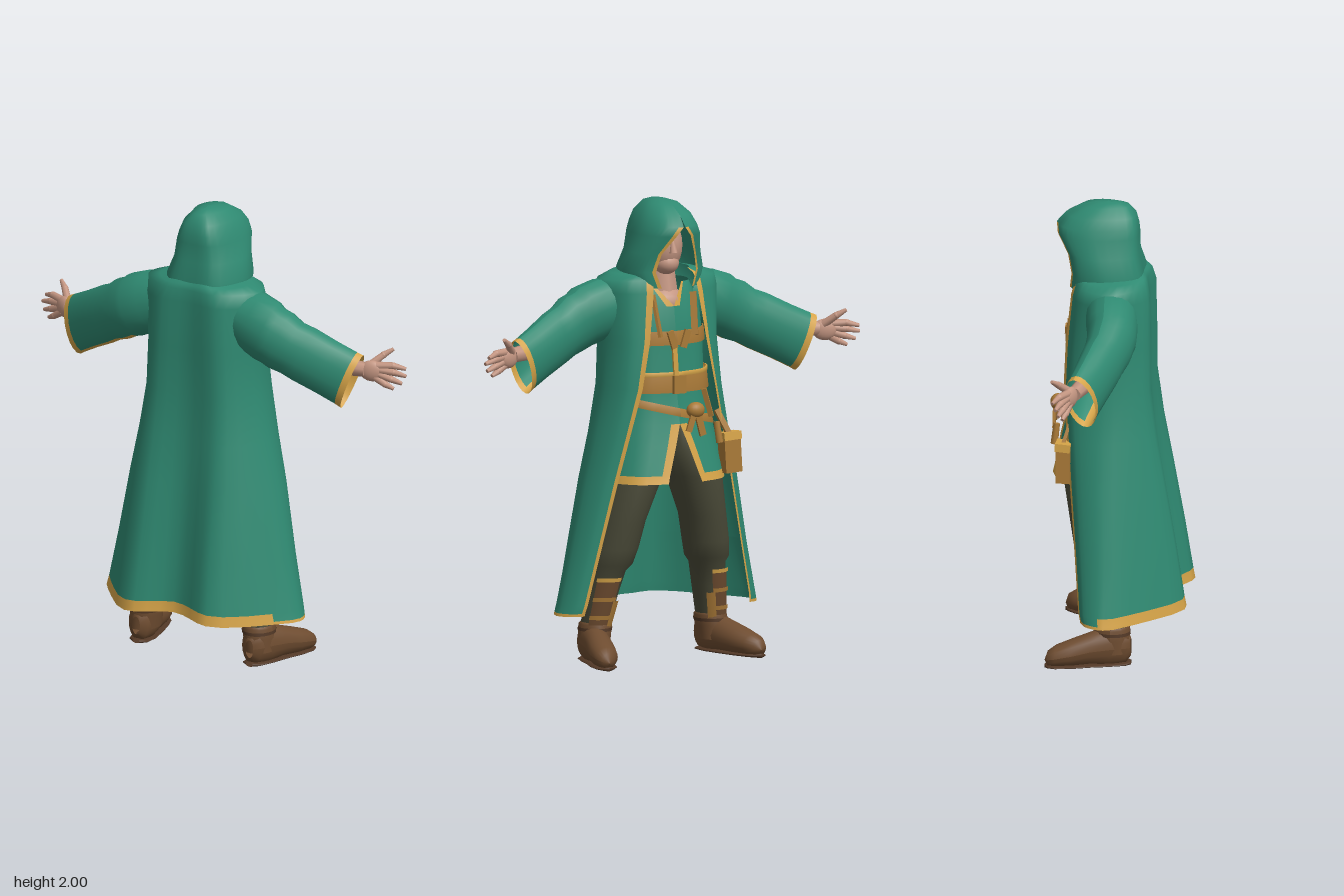
import * as THREE from 'three';

const mat = (name, color) => {
  const m = new THREE.MeshStandardMaterial({ color, side: THREE.DoubleSide });
  m.name = name;
  return m;
};
const V = (a) => new THREE.Vector3(a[0], a[1], a[2]);

// Skin a grid of points; pick(i, j) chooses the material index of each cell
function surface(grid, pick = () => 0) {
  const cols = grid[0].length, lists = [[], []];
  for (let i = 0; i < grid.length - 1; i++)
    for (let j = 0; j < cols - 1; j++) {
      const a = i * cols + j, b = a + 1, c = a + cols, d = c + 1;
      lists[pick(i, j)].push(c, d, b, c, b, a);
    }
  const g = new THREE.BufferGeometry();
  g.setAttribute('position', new THREE.Float32BufferAttribute(grid.flat(2), 3));
  g.setIndex([...lists[0], ...lists[1]]);
  g.addGroup(0, lists[0].length, 0);
  g.addGroup(lists[0].length, lists[1].length, 1);
  g.computeVertexNormals();
  return g;
}

// Garment section row: [y, gap, frontZ, width, sideZ, backX, backZ, backMidZ]
const STEPS = [0, 0.03];
for (let k = 1; k < 32; k++) STEPS.push(0.03 + (k / 32) * 0.94);
STEPS.push(0.97, 1);
function section([y, e, zf, w, zw, bx, bz, bc], s = 1) {
  const half = [[e, zf], [e + 0.65 * (w - e), zf + 0.25 * (zw - zf)], [w, zw], [bx, bz]];
  const pts = [...half.map(([x, z]) => V([-x, 0, z])), V([0, 0, bc]),
    ...half.reverse().map(([x, z]) => V([x, 0, z]))];
  const c = new THREE.CatmullRomCurve3(pts);
  return STEPS.map((t) => { const p = c.getPoint(t); return [p.x * s, y, p.z * s]; });
}
const LAST = STEPS.length - 2;
const isEdge = (j) => j === 0 || j === LAST;
function rowAt(rows, y) {
  const i = Math.max(1, rows.findIndex((r) => r[0] <= y));
  const a = rows[i - 1], b = rows[i], t = (a[0] - y) / (a[0] - b[0]);
  return a.map((v, k) => v + (b[k] - v) * t);
}

// Elliptical tube through stations [x, y, z, ru, rv] with ring axes U and W
function tube(stations, U, W, a0 = 0, a1 = Math.PI * 2, floor = -1, n = 20) {
  return stations.map(([x, y, z, ru, rv]) => Array.from({ length: n + 1 }, (_, k) => {
    const a = a0 + ((a1 - a0) * k) / n, c = Math.cos(a) * ru, s = Math.sin(a) * rv;
    return [x + U[0] * c + W[0] * s, Math.max(floor, y + U[1] * c + W[1] * s), z + U[2] * c + W[2] * s];
  }));
}
const X = [1, 0, 0], Y = [0, 1, 0], Z = [0, 0, 1];

const COAT = [
  [1.7, 0.09, -0.14, 0.13, -0.02, 0.08, 0.1, 0.1],
  [1.685, 0.1, -0.165, 0.21, 0, 0.12, 0.115, 0.115],
  [1.665, 0.105, -0.18, 0.275, 0, 0.14, 0.125, 0.125],
  [1.61, 0.11, -0.195, 0.285, 0, 0.16, 0.138, 0.13],
  [1.4, 0.14, -0.215, 0.265, 0, 0.17, 0.14, 0.135],
  [1.2, 0.18, -0.22, 0.275, -0.01, 0.18, 0.14, 0.135],
  [1.0, 0.23, -0.2, 0.315, -0.01, 0.19, 0.165, 0.155],
  [0.8, 0.28, -0.18, 0.365, -0.01, 0.2, 0.2, 0.18],
  [0.5, 0.35, -0.15, 0.425, 0, 0.21, 0.25, 0.22],
  [0.285, 0.4, -0.13, 0.475, 0, 0.22, 0.28, 0.25],
  [0.252, 0.408, -0.122, 0.485, 0, 0.22, 0.286, 0.256],
  [0.24, 0.41, -0.12, 0.488, 0, 0.22, 0.288, 0.258]];
const HOOD = [
  [2.0, 0, -0.05, 0.001, -0.05, 0, -0.05, -0.05],
  [1.997, 0, -0.1, 0.03, -0.05, 0.015, -0.005, 0.005],
  [1.985, 0, -0.16, 0.068, -0.07, 0.035, 0.03, 0.045],
  [1.945, 0, -0.232, 0.105, -0.1, 0.065, 0.055, 0.073],
  [1.9, 0.004, -0.27, 0.125, -0.11, 0.08, 0.065, 0.083],
  [1.86, 0.035, -0.262, 0.138, -0.11, 0.09, 0.068, 0.086],
  [1.78, 0.08, -0.212, 0.157, -0.08, 0.1, 0.07, 0.087],
  [1.7, 0.1, -0.195, 0.184, -0.05, 0.12, 0.095, 0.108],
  [1.63, 0.075, -0.205, 0.165, -0.04, 0.11, 0.085, 0.1]];
const TUNIC = [
  [1.64, 0.07, -0.12, 0.15, 0, 0.1, 0.08, 0.09],
  [1.545, 0, -0.18, 0.2, -0.02, 0.13, 0.09, 0.09],
  [1.4, 0, -0.2, 0.21, -0.03, 0.13, 0.08, 0.08],
  [1.2, 0, -0.2, 0.21, -0.05, 0.13, 0.07, 0.07],
  [1.04, 0, -0.23, 0.24, -0.06, 0.14, 0.065, 0.065],
  [0.95, 0.03, -0.25, 0.255, -0.07, 0.15, 0.06, 0.06],
  [0.825, 0.072, -0.27, 0.275, -0.08, 0.16, 0.06, 0.06],
  [0.79, 0.083, -0.278, 0.28, -0.08, 0.16, 0.06, 0.06]];

export function createModel() {
  const model = new THREE.Group();
  const green = mat('greenCloth', 0x2f8a72), gold = mat('goldTrim', 0xd6a448);
  const skin = mat('skin', 0xc49682), olive = mat('oliveTrousers', 0x4a4a38);
  const boot = mat('brownBoots', 0x6e4c30), sole = mat('darkSoles', 0x523826);
  const strap = mat('tanLeather', 0xaa7a38);
  const cloth = [green, gold];
  const add = (name, geo, m, parent = model) => {
    const mesh = new THREE.Mesh(geo, m);
    mesh.name = name;
    parent.add(mesh);
    return mesh;
  };
  // Place a part that stands along y between two points
  const span = (name, a, b, geo, m, parent) => {
    const d = V(b).sub(V(a)), mesh = add(name, geo(d.length()), m, parent);
    mesh.position.copy(V(a)).addScaledVector(d, 0.5);
    mesh.quaternion.setFromUnitVectors(V(Y), d.normalize());
  };
  const limb = (name, a, b, r1, r2, m, parent) =>
    span(name, a, b, (l) => new THREE.CylinderGeometry(r2, r1, l, 8), m, parent);
  const bar = (name, a, b, w, t, m) => span(name, a, b, (l) => new THREE.BoxGeometry(w, l, t), m);
  const ball = (name, p, r, s, m, parent) => {
    const mesh = add(name, new THREE.SphereGeometry(r, 20, 14), m, parent);
    mesh.position.set(...p);
    mesh.scale.set(...s);
    return mesh;
  };

  // Long open coat with hem folds, gold edges and a green lining behind the hem
  const drape = (row, s) => section(row, s).map(([x, y, z]) => {
    const k = THREE.MathUtils.clamp((1.4 - y) / 1.2, 0, 1);
    const back = THREE.MathUtils.smoothstep(z, 0, 0.15);
    return [x, y - k * 0.05 * Math.abs(x), z - k * back * 0.018 * Math.sin(14 * x + 1)];
  });
  const hem = COAT.length - 2;
  add('coat', surface(COAT.map((r) => drape(r, 1)), (i, j) =>
    (i === hem || isEdge(j) || (i === hem - 1 && j > 6 && j < LAST - 9) ? 1 : 0)), cloth);
  add('hemLining', surface(COAT.slice(-4).map((r) => drape(r, 0.988).slice(2, -2))), green);

  // Hood, face and neck
  add('hood', surface(HOOD.map((r) => section(r)), (i, j) => (i >= 4 && isEdge(j) ? 1 : 0)), cloth);
  ball('head', [0, 1.8, -0.07], 0.1, [0.88, 1.3, 1.0], skin);
  ball('jaw', [0, 1.725, -0.105], 0.06, [0.95, 0.85, 1.05], skin);
  limb('nose', [0, 1.775, -0.175], [0, 1.83, -0.165], 0.018, 0.008, skin);
  limb('neck', [0, 1.54, -0.08], [0, 1.72, -0.06], 0.075, 0.06, skin);
  ball('upperChest', [0, 1.55, -0.07], 0.1, [0.95, 0.8, 1.0], skin);

  // Tunic with a split skirt
  add('tunic', surface(TUNIC.map((r) => section(r)),
    (i, j) => (i === TUNIC.length - 2 || (isEdge(j) && (i >= 4 || i === 0)) ? 1 : 0)), cloth);

  // Belts follow the tunic, with an optional slant
  const belt = (name, y, h, s, slant, m) => add(name, surface(
    [[h, s - 0.03], [h, s], [-h, s], [-h, s - 0.03]].map(([dy, k]) =>
      section([y + dy, 0, ...rowAt(TUNIC, y + dy).slice(2)], k)
        .map(([x, yy, z]) => [x, yy + slant * x, z]))), m);
  belt('chestStrap', 1.41, 0.03, 1.05, 0, strap);
  belt('waistBelt', 1.21, 0.036, 1.07, 0, strap);
  belt('waistBeltTrim', 1.255, 0.009, 1.085, 0, gold);
  belt('hipBelt', 1.09, 0.018, 1.07, 0.25, strap);
  for (const s of [-1, 1]) {
    bar('shoulderStrap', [s * 0.1, 1.6, -0.17], [s * 0.085, 1.42, -0.212], 0.028, 0.012, strap);
    bar('chestBuckle', [s * 0.02, 1.37, -0.222], [s * 0.045, 1.445, -0.222], 0.03, 0.012, strap);
  }
  bar('centreStrap', [0.01, 1.24, -0.215], [0.02, 1.39, -0.215], 0.022, 0.012, gold);
  bar('hangingStrap', [-0.13, 1.18, -0.21], [-0.16, 1.06, -0.222], 0.022, 0.012, strap);
  bar('waistBuckle', [0, 1.172, -0.226], [0, 1.25, -0.226], 0.06, 0.014, strap);
  ball('sashKnot', [-0.06, 1.1, -0.26], 0.035, [1.2, 1, 0.9], strap);
  bar('sashTail', [-0.06, 1.1, -0.272], [-0.09, 0.99, -0.272], 0.03, 0.012, strap);
  bar('sashTail', [-0.05, 1.1, -0.272], [-0.02, 1.01, -0.27], 0.026, 0.012, strap);

  // Hip pouch hanging from the belt
  bar('pouch', [-0.265, 0.81, -0.21], [-0.255, 0.97, -0.21], 0.08, 0.06, strap);
  bar('pouchFlap', [-0.257, 0.95, -0.213], [-0.255, 0.985, -0.21], 0.086, 0.066, gold);
  bar('pouchStrap', [-0.255, 0.97, -0.215], [-0.21, 1.08, -0.18], 0.025, 0.015, strap);
  limb('vial', [-0.18, 0.95, -0.26], [-0.17, 1.04, -0.25], 0.016, 0.014, strap);

  // Arm, leg and foot for one side, then mirrored
  const side = new THREE.Group();
  side.name = 'leftLimbs';
  const sleeve = tube([
    [0.15, 1.57, -0.005, 0.1, 0.1], [0.25, 1.538, -0.003, 0.13, 0.117], [0.33, 1.508, 0.005, 0.134, 0.112],
    [0.36, 1.492, 0.005, 0.127, 0.104], [0.4, 1.475, 0.003, 0.13, 0.098], [0.45, 1.448, -0.008, 0.12, 0.09],
    [0.5, 1.425, -0.022, 0.124, 0.086], [0.6, 1.375, -0.052, 0.122, 0.076],
    [0.682, 1.334, -0.077, 0.124, 0.066], [0.707, 1.321, -0.084, 0.126, 0.065]],
  [0.32, 0.947, -0.2], [0.25, 0.15, 0.955]);
  // Gold cuff and underside seam
  add('sleeve', surface(sleeve, (i, j) => (i === 8 || (i > 2 && (j === 9 || j === 10)) ? 1 : 0)), cloth, side);

  limb('wrist', [0.6, 1.39, -0.06], [0.76, 1.38, -0.105], 0.042, 0.032, skin, side);
  const palm = ball('palm', [0.785, 1.375, -0.118], 0.055, [1.0, 0.85, 0.45], skin, side);
  palm.rotation.y = 0.35;
  const fingers = [
    [[0.775, 1.4, -0.125], [0.815, 1.44, -0.165], [0.85, 1.465, -0.19]],
    [[0.805, 1.4, -0.125], [0.87, 1.403, -0.155], [0.92, 1.39, -0.18]],
    [[0.81, 1.383, -0.125], [0.875, 1.375, -0.15], [0.93, 1.363, -0.165]],
    [[0.81, 1.365, -0.125], [0.868, 1.345, -0.142], [0.915, 1.33, -0.155]],
    [[0.8, 1.35, -0.12], [0.845, 1.322, -0.13], [0.882, 1.305, -0.14]]];
  for (const [a, b, c] of fingers) {
    limb('finger', a, b, 0.018, 0.015, skin, side);
    ball('knuckle', b, 0.015, [1, 1, 1], skin, side);
    limb('fingertip', b, c, 0.015, 0.008, skin, side);
  }

  // Trousers gathered below the knee
  add('trouserLeg', surface(tube([
    [0.08, 1.02, -0.06, 0.1, 0.12], [0.11, 0.92, -0.075, 0.125, 0.14], [0.15, 0.8, -0.085, 0.118, 0.14],
    [0.2, 0.62, -0.075, 0.1, 0.115], [0.225, 0.5, -0.06, 0.1, 0.108], [0.24, 0.43, -0.045, 0.095, 0.104],
    [0.247, 0.4, -0.035, 0.078, 0.084], [0.265, 0.3, -0.015, 0.07, 0.08], [0.285, 0.16, 0.005, 0.06, 0.068]],
  X, Z)), olive, side);

  // Shin guard on the outer front of the leg, with straps
  const shin = (y, r) => {
    const t = (0.4 - y) / 0.24;
    return [0.247 + 0.038 * t, y, -0.035 + 0.04 * t, 0.078 - 0.014 * t + r, 0.084 - 0.014 * t + r];
  };
  const guard = (name, ys, r, mid, spread, m) => add(name, surface(tube(ys.map((y) => shin(y, r)), X, Z,
    mid - spread, mid + spread)), m, side);
  const outer = Math.PI * 1.5 + 0.35;
  guard('shinGuard', [0.37, 0.27, 0.14], 0.006, outer, 0.65, boot);
  guard('shinGuardTrim', [0.375, 0.358], 0.011, outer, 0.65, gold);
  for (const y of [0.28, 0.2]) guard('shinStrap', [y + 0.009, y - 0.009], 0.011, outer, 0.65, strap);
  guard('bootTongue', [0.27, 0.2, 0.14], 0.009, Math.PI * 1.5 - 0.42, 0.25, strap);

  // Boot with ankle collar and sole
  const shoe = [
    [0.29, 0.08, 0.085, 0.02, 0.04], [0.29, 0.085, 0.065, 0.05, 0.08], [0.3, 0.085, 0, 0.064, 0.09],
    [0.32, 0.078, -0.08, 0.064, 0.073], [0.345, 0.064, -0.16, 0.066, 0.06], [0.365, 0.052, -0.23, 0.056, 0.047],
    [0.375, 0.042, -0.265, 0.032, 0.033], [0.377, 0.035, -0.278, 0, 0]];
  add('boot', surface(tube(shoe, X, Y, 0, Math.PI * 2, 0.012)), boot, side);
  add('bootSole', surface(tube(shoe.map(([x, , z, r]) => [x, 0.009, z, r * 0.93, 0.009]), X, Y)), sole, side);
  add('ankleCollar', surface(tube([[0.285, 0.175, 0.003, 0.062, 0.07], [0.285, 0.165, 0.003, 0.07, 0.078],
    [0.29, 0.12, 0.002, 0.068, 0.08], [0.295, 0.06, 0, 0.064, 0.082]], X, Z)), boot, side);
  add('ankleStrap', surface(tube([[0.286, 0.152, 0.003, 0.072, 0.08], [0.288, 0.138, 0.003, 0.071, 0.081]], X, Z)), sole, side);

  const other = side.clone();
  other.name = 'rightLimbs';
  other.scale.x = -1;
  model.add(side, other);
  return model;
}
